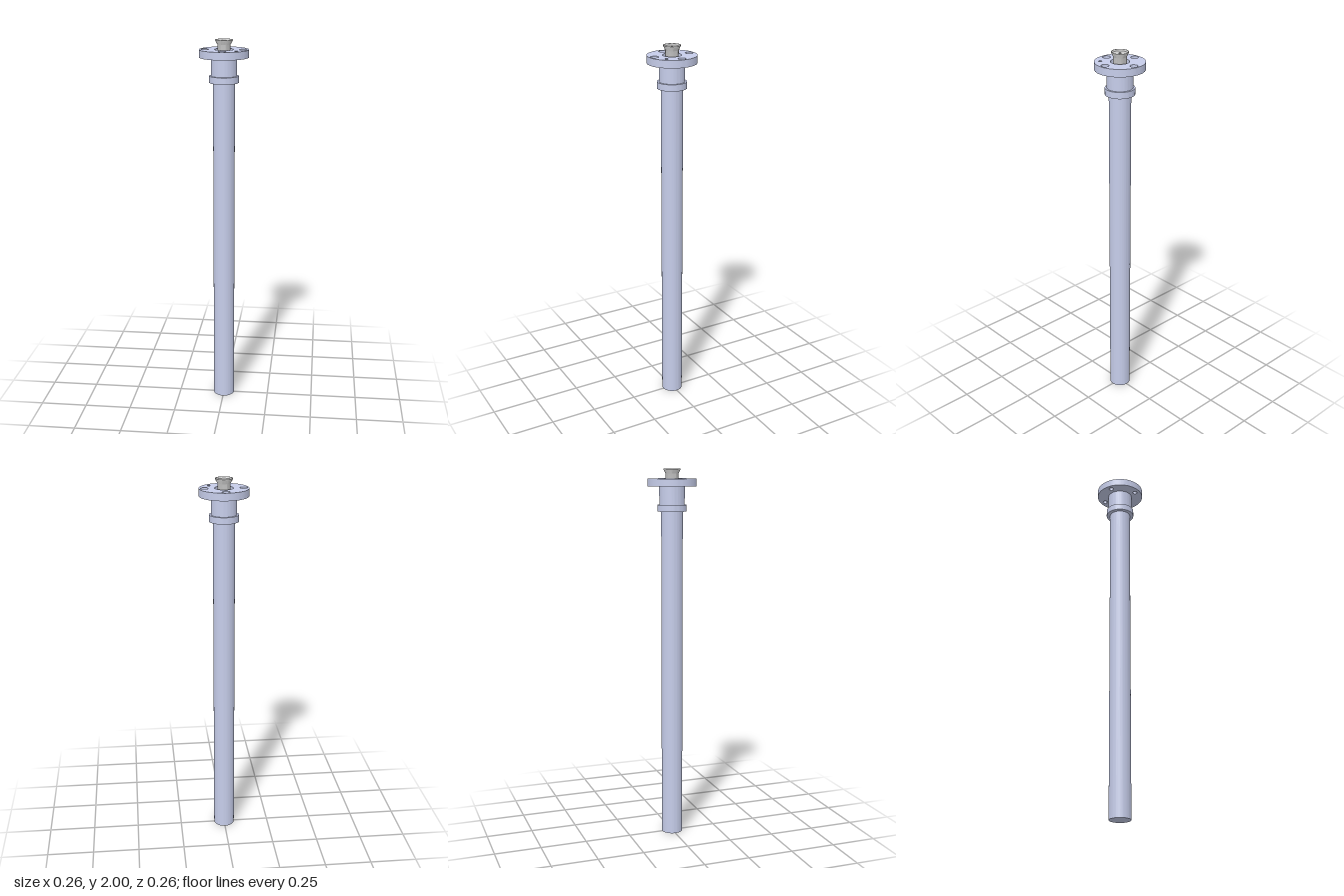
import * as THREE from 'three';
import { toCreasedNormals } from 'three/addons/utils/BufferGeometryUtils.js';

const blue = new THREE.MeshStandardMaterial({ color: 0xc6cdea });
const grey = new THREE.MeshStandardMaterial({ color: 0xcccccc });

function addPart(parent, name, geometry, material) {
  const mesh = new THREE.Mesh(toCreasedNormals(geometry, 0.5), material);
  mesh.name = name;
  parent.add(mesh);
  return mesh;
}

// Revolved solid; the profile runs up the outside and down the inside
function turned(profile) {
  return new THREE.LatheGeometry(profile.map(([r, y]) => new THREE.Vector2(r, y)), 64);
}

function circle(x, z, radius) {
  return new THREE.Path().absarc(x, -z, radius, 0, Math.PI * 2, true);
}

// Horizontal disc with holes, from height y0 to y1
function plate(radius, holes, y0, y1) {
  const shape = new THREE.Shape().absarc(0, 0, radius, 0, Math.PI * 2, false);
  shape.holes.push(...holes);
  const geometry = new THREE.ExtrudeGeometry(shape, { depth: y1 - y0, bevelEnabled: false, curveSegments: 48 });
  return geometry.rotateX(-Math.PI / 2).translate(0, y0, 0);
}

export function createModel() {
  const model = new THREE.Group();
  model.name = 'flangedTube';

  // Closed tube, collar ring and neck with a blind bore at the top
  addPart(model, 'tubeBody', turned([
    [0, 0], [0.057, 0], [0.057, 1.78],
    [0.077, 1.78], [0.077, 1.815],
    [0.067, 1.815], [0.067, 1.912],
    [0.048, 1.912], [0.048, 1.86], [0, 1.86],
  ]), blue);

  // Flange: four counterbored bolt holes and a blind pin hole
  const flange = new THREE.Group();
  flange.name = 'flange';
  model.add(flange);
  const boltHoles = (radius) => [0, 1, 2, 3].map((i) => {
    const a = (i * Math.PI) / 2;
    return circle(0.1 * Math.cos(a), 0.1 * Math.sin(a), radius);
  });
  addPart(flange, 'flangeLower', plate(0.129, [circle(0, 0, 0.048), ...boltHoles(0.013)], 1.91, 1.932), blue);
  addPart(flange, 'flangeUpper', plate(0.129,
    [circle(0, 0, 0.048), circle(0.07, 0.07, 0.009), ...boltHoles(0.02)], 1.932, 1.95), blue);

  // Flared knob on a stem, dished at the top
  const knob = new THREE.Group();
  knob.name = 'knob';
  model.add(knob);
  addPart(knob, 'knobStem', turned([
    [0.034, 1.86], [0.034, 1.975], [0.045, 1.996], [0.045, 2], [0.042, 2], [0.038, 1.992],
  ]), grey);

  // Knob face with a hexagonal socket over the spindle
  const hexagon = new THREE.Path();
  for (let i = 0; i < 6; i++) {
    const a = Math.PI / 2 - (i * Math.PI) / 3;
    const x = 0.008 * Math.cos(a), y = 0.008 * Math.sin(a);
    if (i === 0) hexagon.moveTo(x, y);
    else hexagon.lineTo(x, y);
  }
  hexagon.closePath();
  addPart(knob, 'knobFace', plate(0.038, [hexagon], 1.985, 1.992), grey);
  addPart(knob, 'spindle', new THREE.CylinderGeometry(0.02, 0.02, 0.125, 32).translate(0, 1.9225, 0), blue);

  return model;
}
